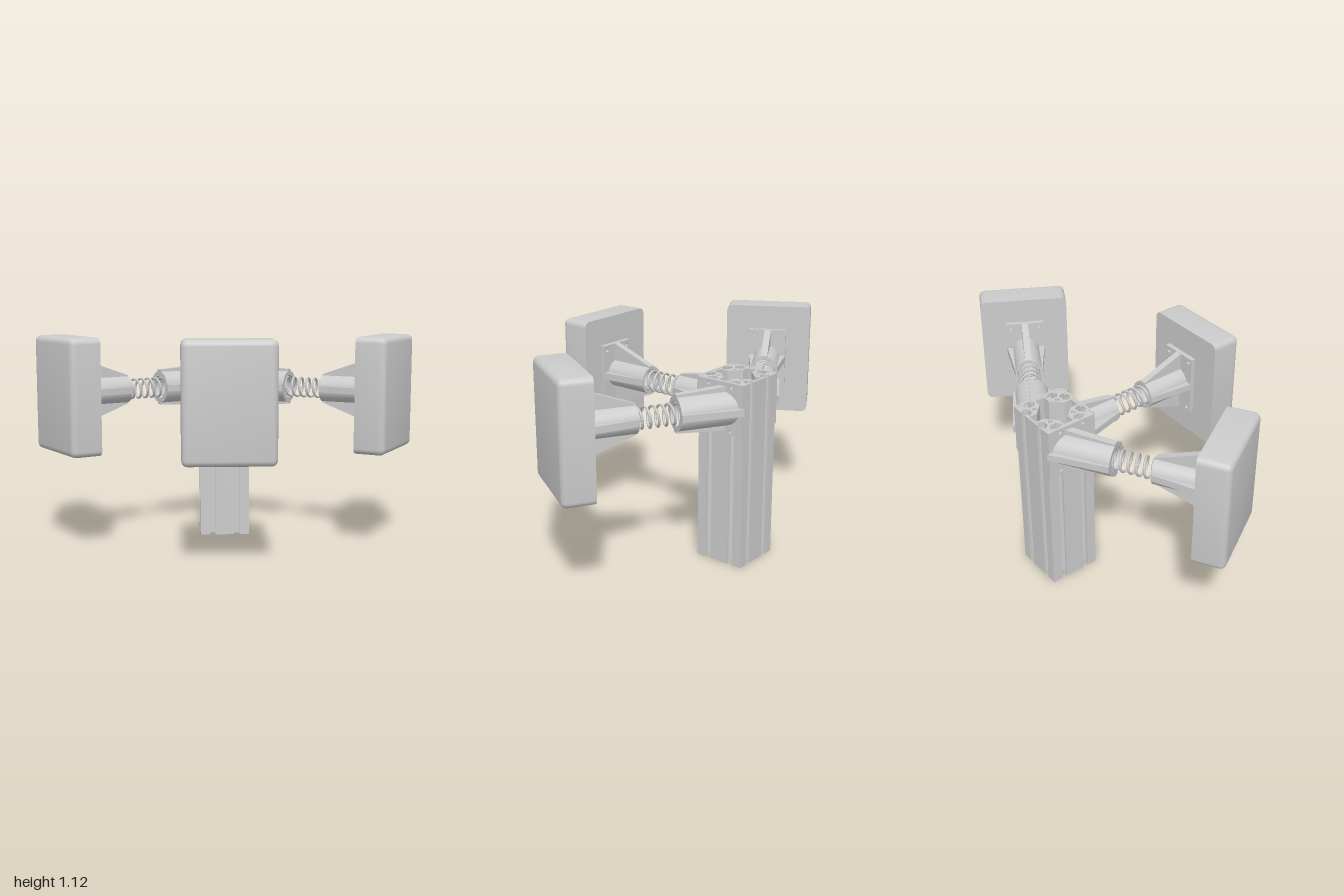
import * as THREE from 'three';
import { toCreasedNormals } from 'three/addons/utils/BufferGeometryUtils.js';

const material = new THREE.MeshStandardMaterial({ color: 0xcccccc });
const AXIS_Y = 0.814, POST_Z = -0.418, POST_HALF = 0.1325;

function add(parent, name, geometry, x = 0, y = 0, z = 0) {
  const mesh = new THREE.Mesh(geometry, material);
  mesh.name = name;
  mesh.position.set(x, y, z);
  parent.add(mesh);
  return mesh;
}

const polygon = (pts, Type = THREE.Shape) => new Type(pts.map(([x, y]) => new THREE.Vector2(x, y)));
const circle = (x, y, r) => new THREE.Path().absarc(x, y, r, 0, Math.PI * 2, true);

// repeat a run of points around the four sides of a square
function fourSides(side) {
  const pts = [];
  for (let k = 0; k < 4; k++) {
    const c = Math.round(Math.cos(k * Math.PI / 2)), s = Math.round(Math.sin(k * Math.PI / 2));
    for (const [x, y] of side) pts.push([x * c - y * s, x * s + y * c]);
  }
  return pts;
}

// T-slotted hollow column, two slots on each side
function postGeometry() {
  const h = POST_HALF, side = [[-h, -h]];
  const slot = [[-0.015, 0], [-0.015, 0.012], [-0.03, 0.012], [-0.03, 0.022], [-0.015, 0.042],
    [0.015, 0.042], [0.03, 0.022], [0.03, 0.012], [0.015, 0.012], [0.015, 0]];
  for (const cx of [-0.066, 0.066]) for (const [x, d] of slot) side.push([cx + x, d - h]);
  const shape = polygon(fourSides(side));
  shape.holes.push(polygon(fourSides([[-0.026, -0.08], [-0.026, -0.121], [0.026, -0.121], [0.026, -0.08]]), THREE.Path));
  for (const x of [-0.066, 0.066]) for (const y of [-0.066, 0.066]) shape.holes.push(circle(x, y, 0.011));
  return new THREE.ExtrudeGeometry(shape, { depth: 0.943, bevelEnabled: false }).rotateX(-Math.PI / 2);
}

// flat plate with four bolt holes
function plateGeometry(w, h, d, hx, hy) {
  const shape = polygon([[-w / 2, -h / 2], [w / 2, -h / 2], [w / 2, h / 2], [-w / 2, h / 2]]);
  for (const x of [-hx, hx]) for (const y of [-hy, hy]) shape.holes.push(circle(x, y, 0.01));
  return new THREE.ExtrudeGeometry(shape, { depth: d, bevelEnabled: false, curveSegments: 8 });
}

// hollow round sleeve along z
function sleeveGeometry(inner, outer, length) {
  const pts = [[inner, length], [inner, 0], [outer, 0], [outer, length], [inner, length]];
  const geo = new THREE.LatheGeometry(pts.map(([x, y]) => new THREE.Vector2(x, y)), 32);
  return toCreasedNormals(geo.rotateX(Math.PI / 2), 0.6);
}

// tapered gusset standing on the sleeve
function ribGeometry(inner, base, tip, length, thick, angle) {
  const shape = polygon([[inner, 0], [base, 0], [tip, length], [inner, length]]);
  return new THREE.ExtrudeGeometry(shape, { depth: thick, bevelEnabled: false })
    .translate(0, 0, -thick / 2).rotateX(Math.PI / 2).rotateZ(angle);
}

// slant the base end of a part so that it meets an angled plate
function slantBase(geo, length, slope) {
  const p = geo.attributes.position;
  for (let i = 0; i < p.count; i++) {
    p.setZ(i, p.getZ(i) - p.getX(i) * slope * (1 - p.getZ(i) / length));
  }
  geo.computeVertexNormals();
  return toCreasedNormals(geo, 0.6);
}

// coil spring along z
class Helix extends THREE.Curve {
  constructor(radius, length, turns) {
    super();
    Object.assign(this, { radius, length, turns });
  }
  getPoint(t, target = new THREE.Vector3()) {
    const a = t * this.turns * Math.PI * 2;
    return target.set(this.radius * Math.cos(a), this.radius * Math.sin(a), t * this.length);
  }
}

// cushion block: rounded outline, sharp back, rounded front edge
function padGeometry(w, h, d, r) {
  const rings = [[0, 0], [d - r, 0]], n = 5, pos = [], idx = [];
  for (let i = 1; i <= n; i++) {
    const a = i / n * Math.PI / 2;
    rings.push([d - r + r * Math.sin(a), r * (1 - Math.cos(a))]);
  }
  const count = 4 * (n + 1);
  for (const [z, inset] of rings) {
    for (let q = 0; q < 4; q++) for (let i = 0; i <= n; i++) {
      const a = (q + i / n) * Math.PI / 2;
      const sx = q === 0 || q === 3 ? 1 : -1, sy = q < 2 ? 1 : -1;
      pos.push(sx * (w / 2 - r) + (r - inset) * Math.cos(a), sy * (h / 2 - r) + (r - inset) * Math.sin(a), z);
    }
  }
  for (let k = 0; k < rings.length - 1; k++) for (let i = 0; i < count; i++) {
    const a = k * count + i, b = k * count + (i + 1) % count;
    idx.push(a, b, b + count, a, b + count, a + count);
  }
  // back and front caps
  const last = (rings.length - 1) * count;
  for (let i = 1; i < count - 1; i++) idx.push(0, i + 1, i, last, last + i, last + i + 1);
  const geo = new THREE.BufferGeometry();
  geo.setAttribute('position', new THREE.Float32BufferAttribute(pos, 3));
  geo.setIndex(idx);
  return toCreasedNormals(geo, 0.6);
}

// one arm: ribbed socket, spring, ribbed cup, mounting plate and pad, running along local z
function makeArm(name, angle, o) {
  const arm = new THREE.Group();
  arm.name = name;
  arm.rotation.y = angle;
  const slope = Math.sign(angle) * Math.tan(Math.PI / 6), L = o.socketLength;

  add(arm, 'socket', slantBase(sleeveGeometry(0.06, o.socketRadius, L), L, slope));
  for (let k = 0; k < 4; k++) {
    const base = k % 2 ? 0.11 : o.ribBase;
    add(arm, 'socketRib', slantBase(ribGeometry(0.062, base, o.ribTip, L, 0.034, k * Math.PI / 2), L, slope));
  }

  const helix = new Helix(0.05, 0.32, 8);
  add(arm, 'spring', new THREE.TubeGeometry(helix, 200, 0.0065, 7), 0, 0, L - 0.06);

  const cup = new THREE.Group();
  cup.name = 'cup';
  cup.position.z = L + 0.2;
  arm.add(cup);
  add(cup, 'cupSleeve', sleeveGeometry(0.058, 0.071, 0.237));
  for (let k = 0; k < 4; k++) {
    const vertical = k % 2;
    // ribs widen towards the mounting plate
    add(cup, 'cupRib', ribGeometry(0.06, vertical ? 0.075 : 0.072, vertical ? 0.16 : 0.1, 0.237, 0.034, k * Math.PI / 2));
  }
  add(cup, 'mountingPlate', plateGeometry(0.2, 0.32, 0.025, 0.075, 0.135), 0, 0, 0.236);
  add(cup, 'pad', padGeometry(0.455, 0.595, 0.16, 0.03), o.padX, o.padY, 0.26);
  return arm;
}

export function createModel() {
  const model = new THREE.Group();
  model.name = 'paddedPost';
  add(model, 'post', postGeometry(), 0, 0, POST_Z);

  // bracket plates on the front and both sides of the post
  const plate = plateGeometry(0.265, 0.26, 0.012, 0.066, 0.11);
  add(model, 'frontBracket', plate, 0, 0.815, POST_Z + POST_HALF);

  const front = makeArm('frontArm', 0, {
    socketLength: 0.2, socketRadius: 0.068, ribBase: 0.125, ribTip: 0.073, padX: -0.016, padY: 0.004,
  });
  front.position.set(0, AXIS_Y, -0.274);
  model.add(front);

  for (const s of [-1, 1]) {
    const label = s > 0 ? 'left' : 'right';
    add(model, label + 'Bracket', plate, s * POST_HALF, 0.815, POST_Z).rotation.y = s * Math.PI / 2;
    const arm = makeArm(label + 'Arm', s * Math.PI / 3, {
      socketLength: 0.24, socketRadius: 0.085, ribBase: 0.112, ribTip: 0.094, padX: 0, padY: -0.01,
    });
    arm.position.set(s * 0.144, AXIS_Y, -0.434);
    model.add(arm);
  }
  return model;
}
